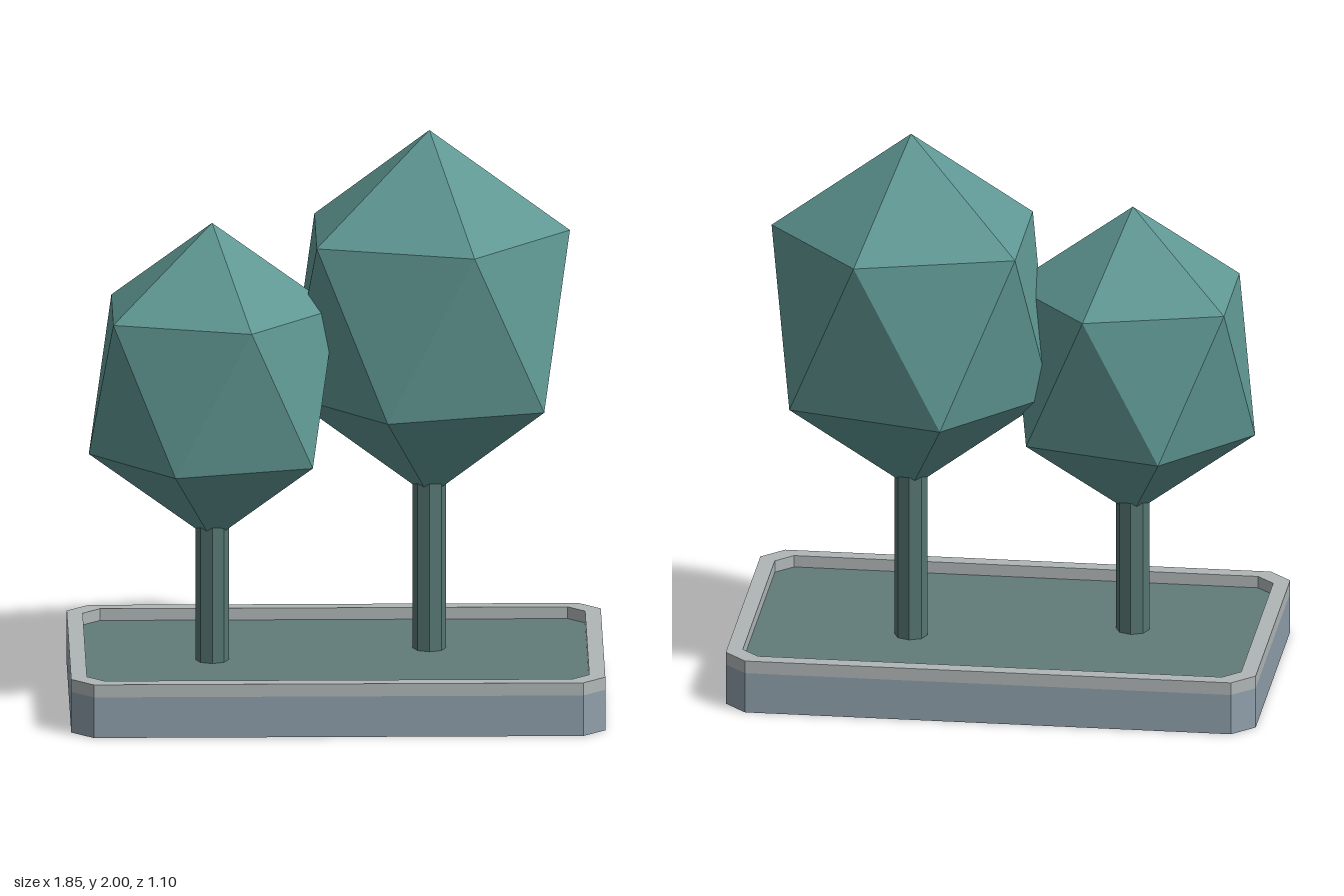
import * as THREE from 'three';
import { ConvexGeometry } from 'three/addons/geometries/ConvexGeometry.js';

const material = (color) => new THREE.MeshStandardMaterial({ color, flatShading: true });
const leafMaterial = material(0x5f9793);
const trunkMaterial = material(0x557571);
const stoneMaterial = material(0x8f9fab);
const rimMaterial = material(0xb0b6b6);
const soilMaterial = material(0x627c79);

const RIM_BOTTOM = 0.145;
const RIM_TOP = 0.19;

function addMesh(parent, name, geometry, mat) {
  const mesh = new THREE.Mesh(geometry, mat);
  mesh.name = name;
  parent.add(mesh);
  return mesh;
}

// Corners of a rectangle with cut corners, counter-clockwise
function cutCorners(hx, hz, c) {
  return [
    [hx, -hz + c], [hx, hz - c], [hx - c, hz], [-hx + c, hz],
    [-hx, hz - c], [-hx, -hz + c], [-hx + c, -hz], [hx - c, -hz],
  ].map(([x, y]) => new THREE.Vector2(x, y));
}

// Extrude an outline upward from y0 to y1
function slab(shape, y0, y1) {
  return new THREE.ExtrudeGeometry(shape, { depth: y1 - y0, bevelEnabled: false })
    .rotateX(-Math.PI / 2)
    .translate(0, y0, 0);
}

// Stretched icosahedron with its points up and down
function crownGeometry({ bottom, lower, upper, top, rx, rz }) {
  const points = [new THREE.Vector3(0, top, 0), new THREE.Vector3(0, bottom, 0)];
  for (let i = 0; i < 5; i++) {
    const a = (i / 5) * Math.PI * 2;
    points.push(new THREE.Vector3(Math.cos(a) * rx, upper, Math.sin(a) * rz));
    points.push(new THREE.Vector3(-Math.cos(a) * rx, lower, -Math.sin(a) * rz));
  }
  return new ConvexGeometry(points);
}

function createTree(name, x, z, crown) {
  const tree = new THREE.Group();
  tree.name = name;
  tree.position.set(x, 0, z);
  addMesh(tree, 'crown', crownGeometry(crown), leafMaterial);
  const height = crown.lower - RIM_BOTTOM;
  const trunk = new THREE.CylinderGeometry(0.058, 0.058, height, 8);
  addMesh(tree, 'trunk', trunk, trunkMaterial).position.y = RIM_BOTTOM + height / 2;
  return tree;
}

export function createModel() {
  const model = new THREE.Group();
  model.name = 'treePlanter';

  // Planter: stone base, raised rim and recessed soil
  const outer = cutCorners(0.925, 0.55, 0.077);
  const inner = cutCorners(0.87, 0.497, 0.06);
  addMesh(model, 'base', slab(new THREE.Shape(outer), 0, RIM_BOTTOM), stoneMaterial);
  const rim = new THREE.Shape(outer);
  rim.holes.push(new THREE.Path(inner));
  addMesh(model, 'rim', slab(rim, RIM_BOTTOM, RIM_TOP), rimMaterial);
  addMesh(model, 'soil', slab(new THREE.Shape(inner), 0.1, RIM_BOTTOM + 0.003), soilMaterial);

  // Trees
  model.add(createTree('tallTree', 0.325, -0.105,
    { bottom: 0.69, lower: 1.05, upper: 1.64, top: 2, rx: 0.487, rz: 0.415 }));
  model.add(createTree('shortTree', -0.43, 0.045,
    { bottom: 0.575, lower: 0.885, upper: 1.4, top: 1.71, rx: 0.427, rz: 0.363 }));

  return model;
}
